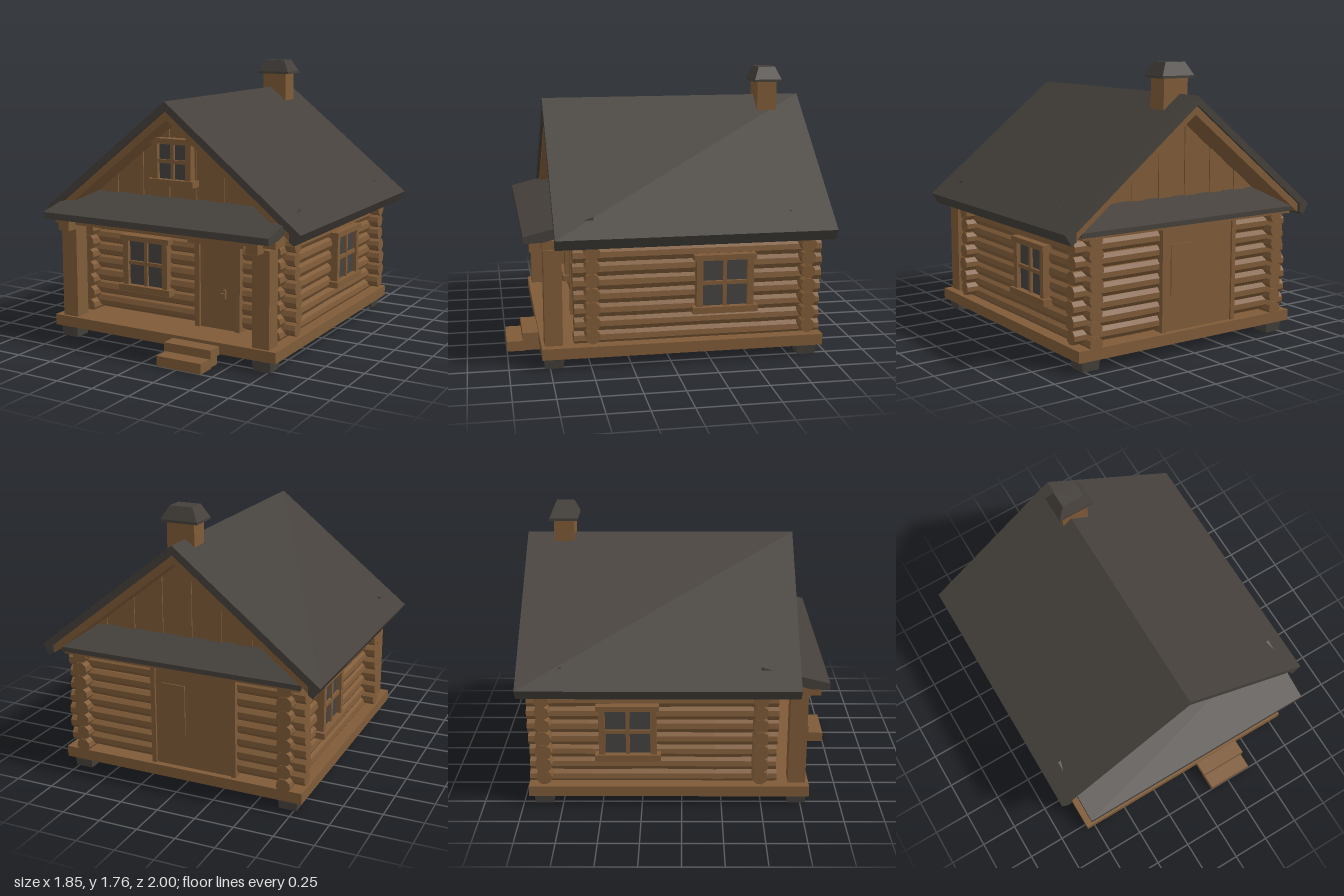
import * as THREE from 'three';

const mat = (name, color) => {
  const m = new THREE.MeshStandardMaterial({ color, flatShading: true });
  m.name = name;
  return m;
};

export function createModel() {
  const wood = mat('brown wood', 0x7f5b38);
  const dark = mat('dark shingle', 0x45403b);
  const glass = mat('window grey', 0x454341);
  const cabin = new THREE.Group();
  cabin.name = 'logCabin';

  const add = (name, geo, material, parent = cabin) => {
    const mesh = new THREE.Mesh(geo, material);
    mesh.name = name;
    parent.add(mesh);
    return mesh;
  };
  // box given by its limits on each axis
  const box = (name, material, [x0, x1], [y0, y1], [z0, z1], parent) => {
    const mesh = add(name, new THREE.BoxGeometry(x1 - x0, y1 - y0, z1 - z0), material, parent);
    mesh.position.set((x0 + x1) / 2, (y0 + y1) / 2, (z0 + z1) / 2);
    return mesh;
  };
  // outline in x, y pushed along z
  const slab = (name, material, pts, z0, z1) => {
    const shape = new THREE.Shape(pts.map(p => new THREE.Vector2(p[0], p[1])));
    const mesh = add(name, new THREE.ExtrudeGeometry(shape, { depth: z1 - z0, bevelEnabled: false }), material);
    mesh.position.z = z0;
    return mesh;
  };
  // outline in z, y pushed along x, centred
  const crossSlab = (name, material, pts, half) => {
    const mesh = slab(name, material, pts.map(([z, y]) => [-z, y]), 0, half * 2);
    mesh.rotation.y = Math.PI / 2;
    mesh.position.set(-half, 0, 0);
    return mesh;
  };

  // platform, feet and steps
  box('platform', wood, [-0.81, 0.81], [0.07, 0.14], [-0.96, 0.8]);
  for (const x of [-0.71, 0.71]) for (const z of [-0.87, 0.725]) {
    const foot = add('foot', new THREE.CylinderGeometry(0.09, 0.08, 0.08, 4, 1).rotateY(Math.PI / 4), dark);
    foot.position.set(x, 0.04, z);
  }
  box('upperStep', wood, [0.1, 0.43], [0.065, 0.12], [0.79, 0.9]);
  box('stepRiser', wood, [0.12, 0.41], [0, 0.07], [0.79, 0.9]);
  box('lowerStep', wood, [0.11, 0.42], [0, 0.065], [0.88, 1]);

  // log walls with crossing corners
  box('wallCore', wood, [-0.68, 0.68], [0.13, 0.83], [-0.85, 0.48]);
  const log = (name, length, r, alongX) => {
    const geo = new THREE.CylinderGeometry(r, r * 0.96, length, 9, 4);
    const p = geo.attributes.position;
    for (let i = 0; i < p.count; i++) {
      const k = 1 + 0.04 * Math.sin(p.getY(i) * 9 + r * 4000);
      p.setX(i, p.getX(i) * k);
      p.setZ(i, p.getZ(i) * k);
    }
    return add(name, alongX ? geo.rotateZ(Math.PI / 2) : geo.rotateX(Math.PI / 2), wood);
  };
  for (let i = 0; i < 8; i++) {
    const wobble = Math.sin(i * 5.3);
    for (const x of [-0.69, 0.69])
      log('sideLog', 1.56 + 0.01 * wobble, 0.05 + 0.002 * wobble, false).position.set(x, 0.165 + i * 0.087, -0.18);
    if (i < 7) for (const z of [-0.86, 0.49])
      log('crossLog', 1.61 - 0.015 * wobble, 0.05 - 0.002 * wobble, true).position.set(0, 0.2 + i * 0.087, z);
  }

  // porch posts and beams
  for (const s of [-1, 1]) {
    const post = box('porchPost', wood, [-0.057, 0.057], [0.14, 0.74], [0.67, 0.78]);
    post.position.x = s * 0.7;
    const cap = box('postBeam', wood, [-0.04, 0.04], [0.725, 0.8], [0.5, 0.86]);
    cap.position.x = s * 0.68;
  }
  box('porchBeam', wood, [-0.8, 0.8], [0.755, 0.81], [0.66, 0.79]);

  // windows: panes, frame, cross bars, sill and head (built facing +z)
  const addWindow = (name, w, h) => {
    const g = new THREE.Group();
    g.name = name;
    const a = w / 2, b = h / 2, t = 0.04;
    box('panes', glass, [-a, a], [-b, b], [0, 0.008], g);
    for (const s of [-1, 1])
      box('frameSide', wood, [-t / 2, t / 2], [-b, b], [-0.06, 0.035], g).position.x = s * (a + t / 2);
    box('sill', wood, [-a - 0.065, a + 0.065], [-b - 0.04, -b], [-0.06, 0.05], g);
    box('head', wood, [-a - 0.055, a + 0.055], [b, b + 0.035], [-0.06, 0.045], g);
    box('barUpright', wood, [-0.012, 0.012], [-b, b], [0, 0.025], g);
    box('barLevel', wood, [-a, a], [-0.012, 0.012], [0, 0.025], g);
    cabin.add(g);
    return g;
  };
  addWindow('frontWindow', 0.26, 0.295).position.set(-0.25, 0.495, 0.545);
  addWindow('gableWindow', 0.205, 0.225).position.set(-0.055, 1.175, 0.525);
  for (const s of [-1, 1]) {
    const g = addWindow('sideWindow', 0.28, 0.295);
    g.position.set(s * 0.745, 0.495, -0.335);
    g.rotation.y = s * Math.PI / 2;
  }

  // front door
  box('frontDoor', wood, [0.15, 0.415], [0.14, 0.685], [0.48, 0.553]);
  box('doorFrame', wood, [0.12, 0.155], [0.14, 0.69], [0.48, 0.57]);
  box('doorFrame', wood, [0.41, 0.445], [0.14, 0.69], [0.48, 0.57]);
  box('doorHead', wood, [0.08, 0.48], [0.68, 0.745], [0.48, 0.585]);
  box('doorHandle', wood, [0.325, 0.34], [0.34, 0.4], [0.55, 0.57]);
  box('doorLatch', wood, [0.31, 0.345], [0.365, 0.378], [0.56, 0.578]);

  // back door
  box('backDoor', wood, [-0.37, 0.2], [0.14, 0.8], [-0.922, -0.86]);
  for (const x of [-0.37, 0.17]) box('backDoorFrame', wood, [x, x + 0.03], [0.14, 0.8], [-0.935, -0.86]);
  box('backDoorPanel', wood, [-0.03, 0.13], [0.36, 0.68], [-0.93, -0.92]);

  // gable planks, alternating in depth
  const topAt = x => 1.48 - 0.79 * Math.abs(x);
  for (let i = 0; i < 14; i++) {
    const x0 = -0.7 + i * 0.1, x1 = x0 + 0.1, step = (i % 2) * 0.008;
    const pts = [[x0, 0.8], [x1, 0.8], [x1, topAt(x1)], [x0, topAt(x0)]];
    slab('frontGablePlank', wood, pts, 0.46, 0.5 + step);
    slab('backGablePlank', wood, pts, -0.75 - step, -0.7);
  }

  // porch roof and the small skirt roof at the back
  crossSlab('porchRoof', dark, [[0.9, 0.8], [0.9, 0.842], [0.48, 0.945], [0.48, 0.88], [0.78, 0.805]], 0.81);
  crossSlab('backSkirtRoof', dark, [[-0.98, 0.8], [-0.98, 0.83], [-0.73, 0.945], [-0.73, 0.9]], 0.8);
  crossSlab('backSoffit', wood, [[-0.97, 0.785], [-0.97, 0.8], [-0.73, 0.9], [-0.73, 0.785]], 0.79);

  // main roof with wooden lining underneath
  const gableOutline = half => [...half, ...half.slice(1, -1).reverse().map(([x, y]) => [-x, y])];
  slab('mainRoof', dark, gableOutline(
    [[0, 1.57], [0.925, 0.838], [0.882, 0.77], [0.85, 0.79], [0.85, 0.842], [0, 1.513]]), -1, 0.72);
  slab('roofLining', wood, gableOutline(
    [[0, 1.515], [0.852, 0.842], [0.852, 0.785], [0, 1.455]]), -0.98, 0.7);

  // chimney and its sloped cap
  box('chimney', wood, [-0.06, 0.12], [1.4, 1.68], [-0.825, -0.695]);
  const d = Math.SQRT1_2;
  box('chimneyCapRim', dark, [-0.09, 0.148], [1.665, 1.68], [-0.85, -0.67]);
  const cap = add('chimneyCap', new THREE.CylinderGeometry(0.62 * d, d, 1, 4, 1).rotateY(Math.PI / 4), dark);
  cap.scale.set(0.238, 0.08, 0.18);
  cap.position.set(0.029, 1.72, -0.76);

  return cabin;
}
